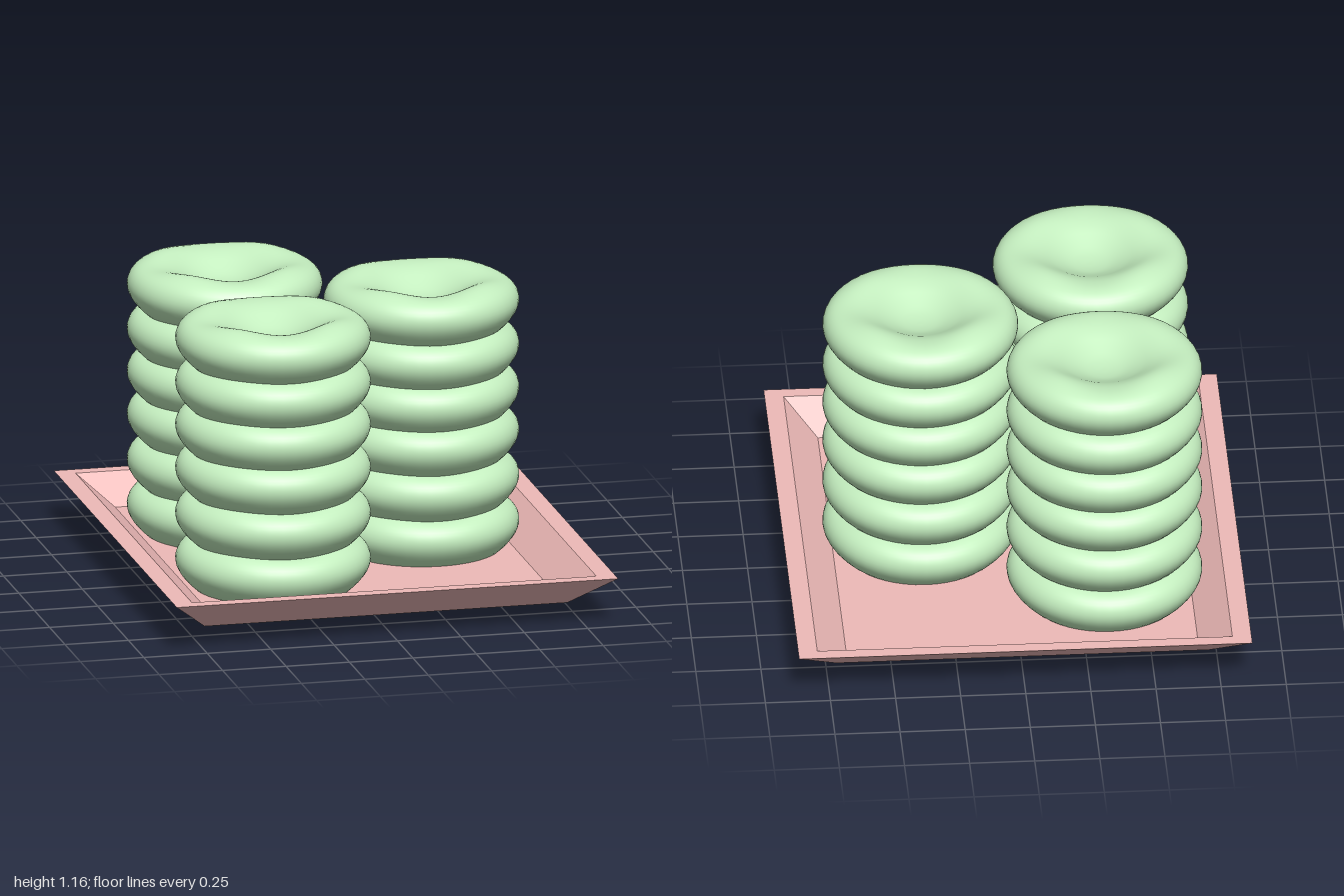
import * as THREE from 'three';
import { mergeVertices } from 'three/addons/utils/BufferGeometryUtils.js';

// Round cushion-like disc: bowl underside, bulging side, four-lobed rim, dimpled top
function discGeometry() {
  const profile = [
    [0, 0], [0.09, 0.005], [0.18, 0.023], [0.262, 0.055], [0.32, 0.096], [0.361, 0.145],
    [0.375, 0.188], [0.365, 0.228], [0.336, 0.257], [0.29, 0.271], [0.24, 0.268],
    [0.19, 0.25], [0.14, 0.225], [0.08, 0.2], [0.03, 0.191], [0, 0.19],
  ].map(([r, y]) => new THREE.Vector2(r, y));
  const points = new THREE.SplineCurve(profile).getPoints(44);
  points[0].x = points[44].x = 0;

  let geometry = new THREE.LatheGeometry(points, 48);
  const p = geometry.attributes.position;
  for (let i = 0; i < p.count; i++) {
    const x = p.getX(i), y = p.getY(i), z = p.getZ(i);
    if (y < 0.19) continue;
    // Raise the rim on the diagonals and lower it on the axes
    const r = Math.hypot(x, z);
    const bump = Math.exp(-(((r - 0.26) / 0.07) ** 2)) * Math.min(1, (y - 0.19) / 0.05);
    p.setY(i, y - 0.009 * bump * Math.cos(4 * Math.atan2(x, z)));
  }
  geometry.deleteAttribute('uv');
  geometry.deleteAttribute('normal');
  geometry = mergeVertices(geometry, 1e-5);
  geometry.computeVertexNormals();
  return geometry;
}

// Flared tray: rectangular loops joined by flat walls, closed below and by the floor
function trayGeometry() {
  const loops = [
    [0.715, 0.055, 0.815], // underside
    [0.87, 0.19, 1], // outer rim
    [0.797, 0.19, 0.945], // inner rim
    [0.675, 0.085, 0.805], // floor
  ].map(([x, y, z]) => [[-x, y, z], [x, y, z], [x, y, -z], [-x, y, -z]]);
  const positions = [];
  const quad = (a, b, c, d) => positions.push(...a, ...b, ...c, ...a, ...c, ...d);
  for (let k = 0; k < 3; k++) {
    for (let i = 0; i < 4; i++) {
      const j = (i + 1) % 4;
      quad(loops[k][i], loops[k][j], loops[k + 1][j], loops[k + 1][i]);
    }
  }
  quad(...loops[3]);
  quad(...[...loops[0]].reverse());
  const geometry = new THREE.BufferGeometry();
  geometry.setAttribute('position', new THREE.Float32BufferAttribute(positions, 3));
  geometry.computeVertexNormals();
  return geometry;
}

export function createModel() {
  const model = new THREE.Group();
  model.name = 'trayOfStackedDiscs';

  const tray = new THREE.Mesh(trayGeometry(), new THREE.MeshStandardMaterial({ color: 0xeebab8 }));
  tray.name = 'tray';
  model.add(tray);

  // Three stacks of six discs
  const disc = discGeometry();
  const green = new THREE.MeshStandardMaterial({ color: 0xc5efc0 });
  const heights = [0, 0.18, 0.36, 0.53, 0.7, 0.877];
  const stacks = { backRightStack: [-0.343, -0.396], frontRightStack: [-0.343, 0.391], leftStack: [0.337, -0.002] };
  for (const [name, [x, z]] of Object.entries(stacks)) {
    const stack = new THREE.Group();
    stack.name = name;
    stack.position.set(x, 0, z);
    heights.forEach((y, i) => {
      const mesh = new THREE.Mesh(disc, green);
      mesh.name = `disc${i + 1}`;
      mesh.position.y = y;
      stack.add(mesh);
    });
    model.add(stack);
  }
  return model;
}
